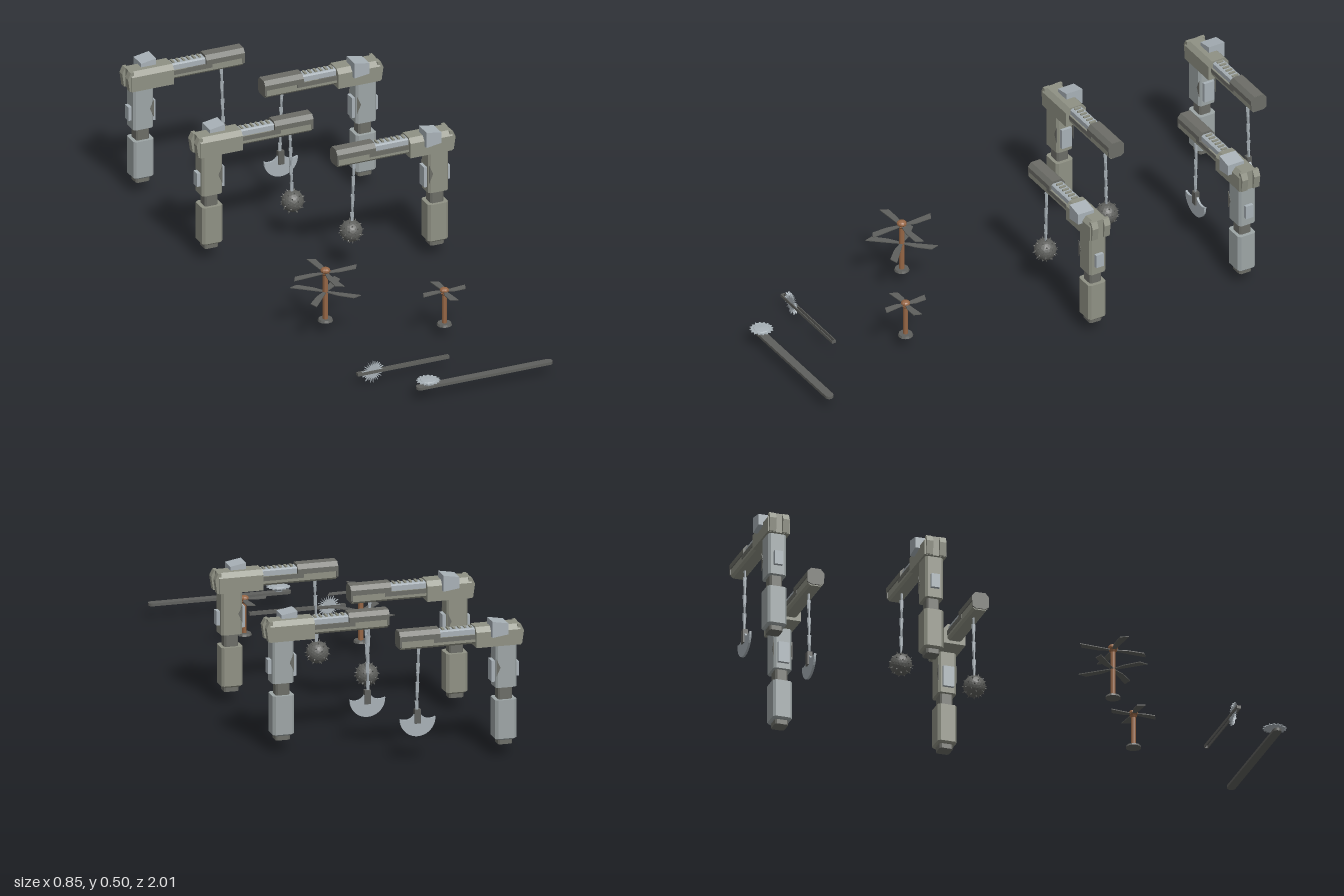
import * as THREE from 'three';

const mat = (name, color, side = THREE.FrontSide) =>
  Object.assign(new THREE.MeshStandardMaterial({ color, flatShading: true, side }), { name });

export function createModel() {
  const olive = mat('olive stone', 0x8f9184);
  const pale = mat('pale stone', 0x9da5a6);
  const metal = mat('pale metal', 0xa8b1b7, THREE.DoubleSide);
  const dark = mat('dark stone', 0x6c6d67);
  const iron = mat('dark iron', 0x5f605d, THREE.DoubleSide);
  const wood = mat('brown wood', 0x966645);

  const add = (parent, name, geo, m, x = 0, y = 0, z = 0) => {
    const mesh = new THREE.Mesh(geo, m);
    mesh.name = name;
    mesh.position.set(x, y, z);
    parent.add(mesh);
    return mesh;
  };
  // box given by its limits on each axis
  const box = (parent, name, m, x0, x1, y0, y1, z0, z1) =>
    add(parent, name, new THREE.BoxGeometry(x1 - x0, y1 - y0, z1 - z0), m, (x0 + x1) / 2, (y0 + y1) / 2, (z0 + z1) / 2);
  const poly = pts => new THREE.Shape(pts.map(p => new THREE.Vector2(p[0], p[1])));
  const extrude = (shape, depth) => new THREE.ExtrudeGeometry(shape, { depth, bevelEnabled: false, curveSegments: 10 });
  // symmetric profile (half width, height) pushed along x
  const beam = (parent, name, m, x0, x1, half) => {
    const pts = [...half, ...half.slice().reverse().map(([w, y]) => [-w, y])];
    return add(parent, name, extrude(poly(pts), x1 - x0).rotateY(Math.PI / 2), m, x0);
  };
  // upright block with chamfered edges, optionally narrowing at its foot
  const pillar = (parent, name, m, x, y0, y1, w, d, c, taper = 0) => {
    const ring = (s) => {
      const a = w / 2 - s, b = d / 2 - s;
      return [[a, -b + c], [a, b - c], [a - c, b], [-a + c, b], [-a, b - c], [-a, -b + c], [-a + c, -b], [a - c, -b]];
    };
    const levels = [[y0, taper], [y0 + taper, 0], [y1, 0]];
    const pos = levels.flatMap(([y, s]) => ring(s).flatMap(([px, pz]) => [px, y, pz]));
    pos.push(0, y0, 0, 0, y1, 0);
    const idx = [];
    for (let i = 0; i < 8; i++) {
      const j = (i + 1) % 8;
      for (const k of [0, 8]) idx.push(k + i, k + 8 + i, k + j, k + j, k + 8 + i, k + 8 + j);
      idx.push(24, i, j, 25, 16 + j, 16 + i);
    }
    const geo = new THREE.BufferGeometry();
    geo.setAttribute('position', new THREE.Float32BufferAttribute(pos, 3));
    geo.setIndex(idx);
    geo.computeVertexNormals();
    return add(parent, name, geo, m, x);
  };

  const model = new THREE.Group();
  model.name = 'trapSet';

  // spiked ball hanging from the chain
  const spikedBall = parent => {
    const g = new THREE.Group();
    g.name = 'spikedBall';
    g.position.set(0.043, 0.15, 0);
    add(g, 'ball', new THREE.IcosahedronGeometry(0.039, 3), iron);
    const n = 44, up = new THREE.Vector3(0, 1, 0);
    for (let i = 0; i < n; i++) {
      const y = 1 - 2 * (i + 0.5) / n, r = Math.sqrt(1 - y * y), a = i * 2.39996;
      const dir = new THREE.Vector3(r * Math.cos(a), y, r * Math.sin(a));
      const s = add(g, 'spike', new THREE.ConeGeometry(0.0035, 0.01, 5), iron);
      s.position.copy(dir).multiplyScalar(0.042);
      s.quaternion.setFromUnitVectors(up, dir);
    }
    parent.add(g);
  };
  // half-moon blade hanging from the chain
  const axeBlade = parent => {
    const s = new THREE.Shape();
    s.moveTo(-0.064, 0.002);
    s.absarc(0, 0, 0.064, Math.PI, Math.PI * 2, false);
    s.lineTo(0.064, 0.002);
    s.quadraticCurveTo(0.03, -0.012, 0.012, 0.015);
    s.lineTo(-0.012, 0.015);
    s.quadraticCurveTo(-0.03, -0.012, -0.064, 0.002);
    add(parent, 'axeBlade', extrude(s, 0.008), metal, 0.049, 0.157, -0.004);
    box(parent, 'bladeSocket', iron, 0.038, 0.06, 0.14, 0.19, -0.009, 0.009);
  };

  // gallows: post, overhanging beam, chain and weapon
  const gallows = (z, turned, postMat, weapon) => {
    const g = new THREE.Group();
    g.name = 'gallows';
    g.position.z = z;
    g.rotation.y = turned ? Math.PI : 0;
    pillar(g, 'foot', dark, 0.36, 0.043, 0.065, 0.052, 0.048, 0.006);
    pillar(g, 'lowerPost', postMat, 0.36, 0.06, 0.205, 0.077, 0.07, 0.009, 0.006);
    pillar(g, 'neck', dark, 0.36, 0.2, 0.255, 0.05, 0.046, 0.006);
    pillar(g, 'upperPost', postMat, 0.361, 0.25, 0.403, 0.077, 0.066, 0.008);
    box(g, 'outerPlate', metal, 0.395, 0.412, 0.283, 0.334, -0.015, 0.015);
    box(g, 'innerPlate', metal, 0.311, 0.326, 0.27, 0.346, -0.02, 0.02);
    for (const s of [-1, 1])
      add(g, 'notch', extrude(poly([[0.324, 0.29], [0.339, 0.323], [0.324, 0.356]]), 0.002), dark, 0, 0, s * 0.033 - 0.001);
    // head over the post
    beam(g, 'beamHead', olive, 0.25, 0.41, [[0.04, 0.403], [0.04, 0.458], [0.025, 0.475]]);
    for (const s of [-1, 1])
      add(g, 'headEnd', extrude(poly([[0.4, 0.404], [0.416, 0.404], [0.423, 0.452], [0.412, 0.475], [0.4, 0.475]]), 0.024),
        olive, 0, 0, s * 0.024 - 0.012);
    add(g, 'sideBlock', extrude(poly([[0.303, 0.44], [0.36, 0.448], [0.36, 0.488], [0.303, 0.498]]), 0.064), metal, 0, 0, -0.007);
    // arm with a ridged rail and a dark sleeve at the tip
    beam(g, 'arm', olive, -0.018, 0.26, [[0.019, 0.414], [0.027, 0.422], [0.027, 0.448]]);
    beam(g, 'armBand', dark, 0.1, 0.255, [[0.029, 0.432], [0.029, 0.448]]);
    beam(g, 'rail', metal, 0.11, 0.255, [[0.022, 0.446], [0.022, 0.466], [0.016, 0.47]]);
    for (let i = 0; i < 6; i++) box(g, 'ridge', olive, 0.135 + i * 0.02, 0.143 + i * 0.02, 0.468, 0.475, -0.012, 0.012);
    beam(g, 'tipSleeve', dark, -0.022, 0.123, [[0.031, 0.446], [0.031, 0.464], [0.018, 0.479]]);
    beam(g, 'tipPlate', dark, -0.023, -0.016, [[0.019, 0.418], [0.03, 0.426], [0.03, 0.464], [0.018, 0.478]]);
    // chain of long links, every other one turned
    for (let i = 0; i < 7; i++) {
      const link = add(g, 'chainLink', new THREE.CylinderGeometry(0.0075, 0.0055, 0.038, 6), metal,
        0.053 - i * 0.0011, 0.405 - i * 0.034, 0);
      link.scale.set(i % 2 ? 0.65 : 1, 1, i % 2 ? 1 : 0.65);
    }
    weapon(g);
    model.add(g);
  };
  gallows(-0.078, false, olive, spikedBall);
  gallows(-0.377, true, olive, spikedBall);
  gallows(-0.68, false, pale, axeBlade);
  gallows(-0.95, true, pale, axeBlade);

  // spinning blade posts
  const spinner = (x, z, top, r, tiers) => {
    const g = new THREE.Group();
    g.name = 'spinner';
    g.position.set(x, 0, z);
    add(g, 'base', new THREE.CylinderGeometry(0.024, 0.027, 0.008, 12), iron, 0, 0.047, 0);
    const pr = r * 0.03 + 0.006;
    add(g, 'pole', new THREE.CylinderGeometry(pr, pr, top - 0.055, 10), wood, 0, (top + 0.04) / 2, 0);
    add(g, 'collar', new THREE.CylinderGeometry(pr + 0.005, pr, 0.008, 10), wood, 0, top - 0.025, 0);
    add(g, 'knob', new THREE.SphereGeometry(pr + 0.008, 10, 8).scale(1, 0.65, 1), wood, 0, top - 0.011, 0);
    const shape = poly([[0.006, -0.005], [0.4 * r, -0.014], [0.88 * r, -0.013], [r, 0.015], [0.7 * r, 0.012], [0.006, 0.005]]);
    const geo = extrude(shape, 0.003).rotateX(-Math.PI / 2);
    tiers.forEach((y, t) => {
      for (let i = 0; i < 4; i++) add(g, 'blade', geo, iron, 0, y, 0).rotation.y = i * Math.PI / 2 + t * Math.PI / 4;
    });
    model.add(g);
  };
  spinner(-0.24, 0.33, 0.246, 0.125, [0.224, 0.152]);
  spinner(0.12, 0.53, 0.186, 0.085, [0.17]);

  // upright spiked saw running in a slotted track
  const track = new THREE.Group();
  track.name = 'slottedTrack';
  for (const z of [0.756, 0.768]) box(track, 'rail', iron, -0.317, 0.03, 0.037, 0.048, z, z + 0.003);
  for (const x of [-0.317, 0.027]) box(track, 'railEnd', iron, x, x + 0.003, 0.037, 0.048, 0.756, 0.771);
  const star = [];
  for (let i = 0; i < 52; i++) {
    const r = i % 2 ? 0.021 : 0.039 + 0.004 * Math.cos(i * 1.5), a = i * Math.PI / 26 - Math.PI / 2;
    star.push([r * Math.cos(a), r * Math.sin(a)]);
  }
  add(track, 'spikedSaw', extrude(poly(star), 0.006), metal, -0.257, 0.043, 0.7605);
  model.add(track);

  // flat saw on a long rounded track
  const bar = new THREE.Shape();
  bar.absarc(0.32, 0, 0.015, -Math.PI / 2, Math.PI / 2, false);
  bar.absarc(-0.165, 0, 0.015, Math.PI / 2, Math.PI * 1.5, false);
  add(model, 'longTrack', extrude(bar, 0.01).rotateX(-Math.PI / 2), iron, 0, 0.043, 0.957);
  const teeth = [];
  for (let i = 0; i < 32; i++) {
    const r = i % 2 ? 0.034 : 0.042, a = i * Math.PI / 16;
    teeth.push([r * Math.cos(a), r * Math.sin(a)]);
  }
  add(model, 'flatSaw', extrude(poly(teeth), 0.003).rotateX(-Math.PI / 2), metal, -0.135, 0.068, 0.957);
  const hub = [[0, 0.052], [0.014, 0.052], [0.016, 0.058], [0.032, 0.068], [0.026, 0.073], [0, 0.075]];
  add(model, 'sawHub', new THREE.LatheGeometry(hub.map(p => new THREE.Vector2(...p)), 14), metal, -0.135, 0, 0.957);

  return model;
}
